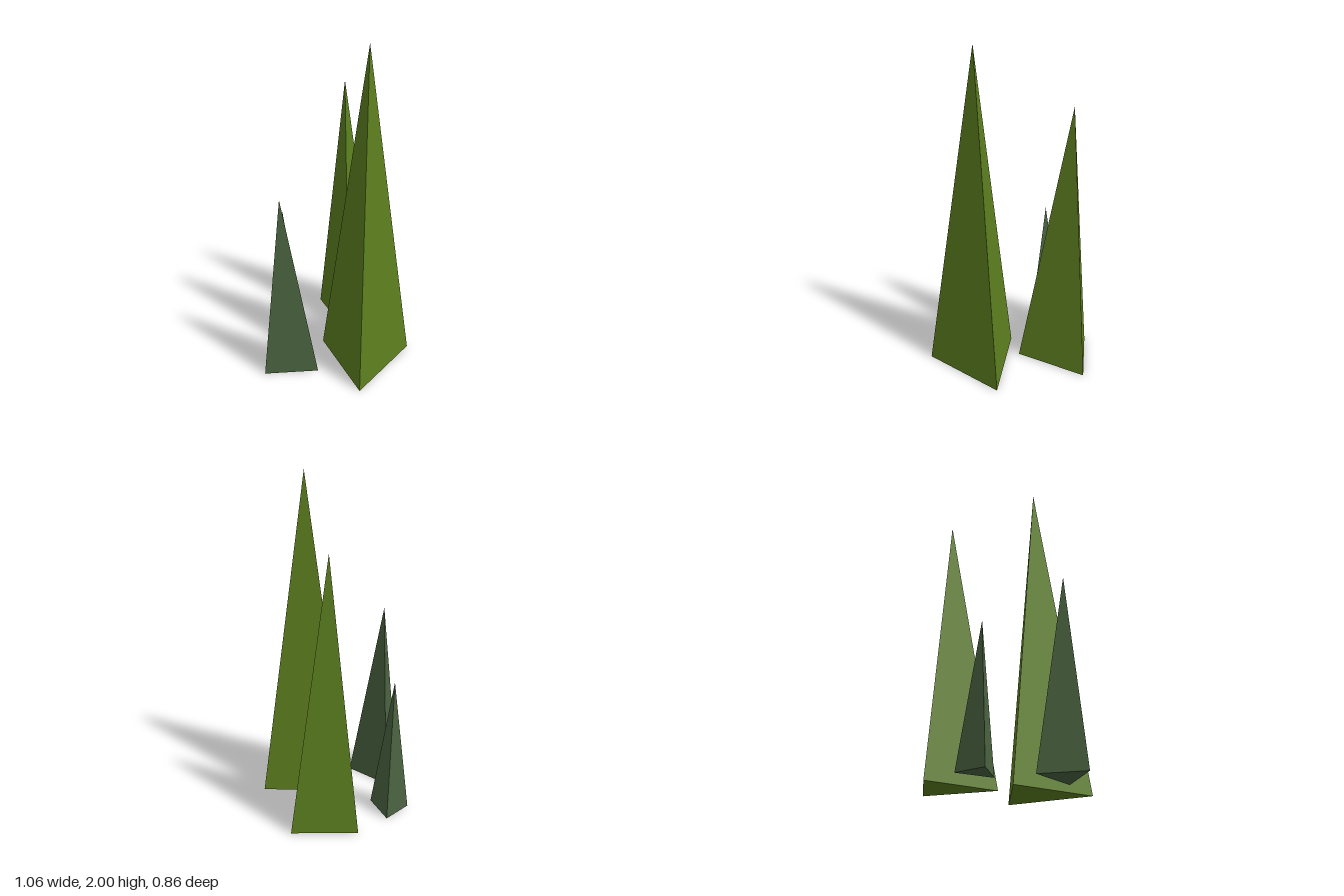
import * as THREE from 'three';

// Three-sided spire: base corners [x, z] counterclockwise from above, and an apex.
function spire(name, corners, apex, color) {
  const base = corners.map(([x, z]) => [x, 0, z]);
  const positions = [...base].reverse().flat();
  base.forEach((p, i) => positions.push(...p, ...base[(i + 1) % base.length], ...apex));

  const geometry = new THREE.BufferGeometry();
  geometry.setAttribute('position', new THREE.Float32BufferAttribute(positions, 3));
  geometry.computeVertexNormals();

  const mesh = new THREE.Mesh(geometry, new THREE.MeshStandardMaterial({ color, flatShading: true }));
  mesh.name = name;
  return mesh;
}

export function createModel() {
  const group = new THREE.Group();
  group.name = 'grassTuft';
  const bright = 0x5c7f1f, dull = 0x4a6340;

  group.add(
    // Two large bright blades
    spire('tallBlade', [[-0.325, 0.43], [0.212, 0.43], [-0.057, -0.037]], [-0.057, 2, 0.276], bright),
    spire('mediumBlade', [[0.088, 0.065], [0.528, -0.009], [0.315, -0.335]], [0.312, 1.63, -0.138], bright),
    // Two small dull blades
    spire('smallBlade', [[-0.53, -0.124], [-0.317, 0.118], [-0.265, -0.191]], [-0.401, 1.14, -0.077], dull),
    spire('tinyBlade', [[-0.106, -0.433], [-0.037, -0.21], [0.09, -0.398]], [-0.037, 0.83, -0.362], dull),
  );
  return group;
}
